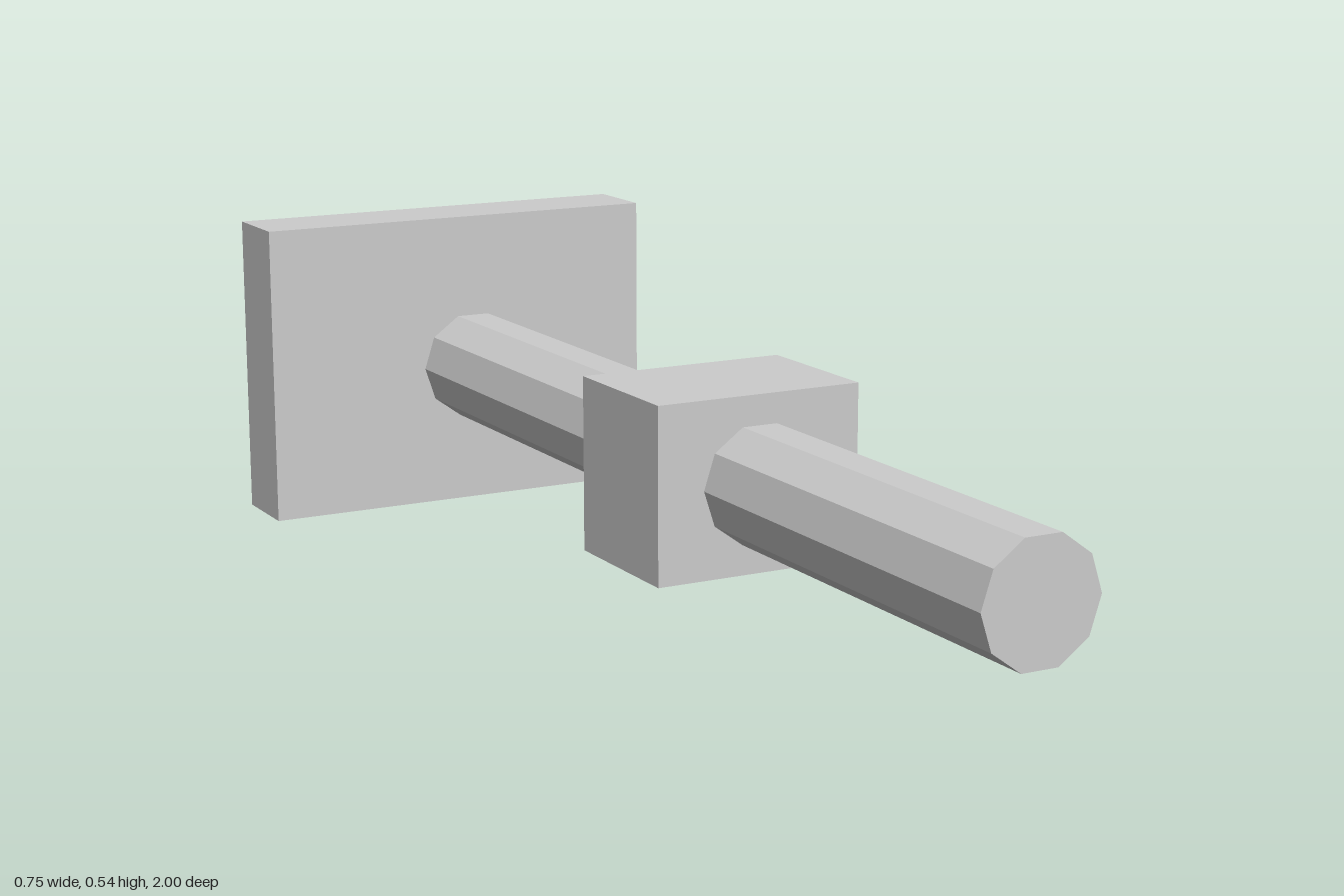
import * as THREE from 'three';

export function createModel() {
  const group = new THREE.Group();
  const grey = new THREE.MeshStandardMaterial({ color: 0xcccccc, flatShading: true });
  grey.name = 'light grey';
  const axisY = 0.27;

  // Each part is centred on the shaft axis and spans zBack to zFront
  function addPart(name, geometry, zBack, zFront) {
    const mesh = new THREE.Mesh(geometry, grey);
    mesh.name = name;
    mesh.position.set(0, axisY, (zBack + zFront) / 2);
    group.add(mesh);
  }

  // Ten-sided shaft with a corner pointing to each side
  const shaft = new THREE.CylinderGeometry(0.0985, 0.0985, 1.803, 10, 1, false, Math.PI / 2);
  shaft.rotateX(Math.PI / 2);
  addPart('shaft', shaft, -0.803, 1);

  // Block around the middle of the shaft
  addPart('collarBlock', new THREE.BoxGeometry(0.357, 0.286, 0.251), 0.007, 0.258);

  // Upright plate, set just behind the shaft's end
  addPart('backPlate', new THREE.BoxGeometry(0.75, 0.54, 0.14), -1, -0.86);

  return group;
}
